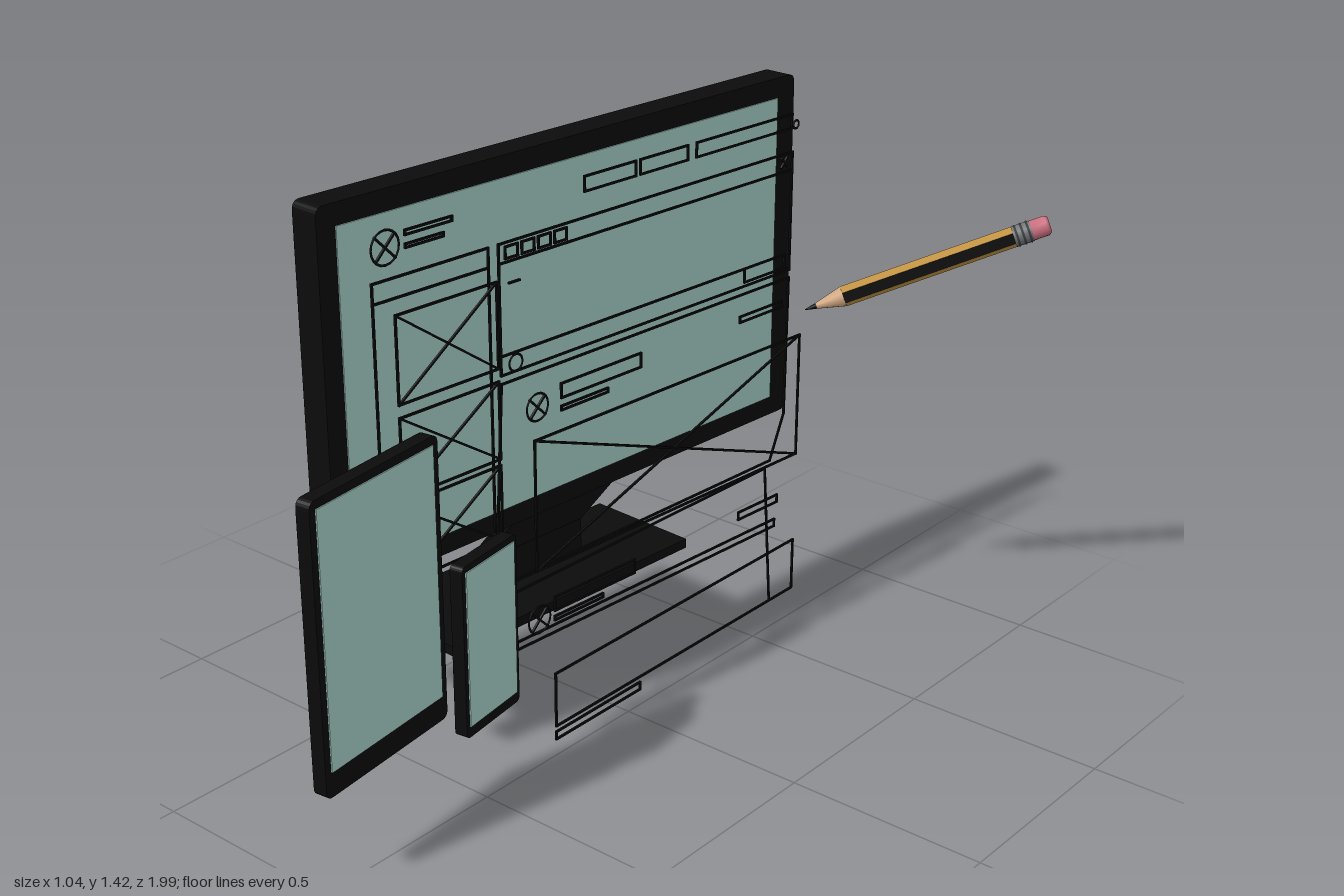
import * as THREE from 'three';
import { mergeGeometries } from 'three/addons/utils/BufferGeometryUtils.js';

const mat = (color, extra = {}) => new THREE.MeshStandardMaterial({ color, ...extra });
const black = mat(0x0b0b0b);
const glass = mat(0xa6cfc7);
const mustard = mat(0xbf9040), wood = mat(0xd0a680), metal = mat(0x6f7375), pink = mat(0xcc7080);

const YAW = -0.063; // monitor, stand and page panels share this turn

function add(parent, name, geometry, material, x = 0, y = 0, z = 0) {
  const mesh = new THREE.Mesh(geometry, material);
  mesh.name = name;
  mesh.position.set(x, y, z);
  parent.add(mesh);
  return mesh;
}

// Rounded slab facing +x, centred on the origin
function slab(width, height, depth, r) {
  const w = width / 2, h = height / 2;
  const s = new THREE.Shape();
  s.moveTo(-w + r, -h);
  s.lineTo(w - r, -h).quadraticCurveTo(w, -h, w, -h + r);
  s.lineTo(w, h - r).quadraticCurveTo(w, h, w - r, h);
  s.lineTo(-w + r, h).quadraticCurveTo(-w, h, -w, h - r);
  s.lineTo(-w, -h + r).quadraticCurveTo(-w, -h, -w + r, -h);
  return new THREE.ExtrudeGeometry(s, { depth, bevelEnabled: false, curveSegments: 5 })
    .translate(0, 0, -depth / 2).rotateY(Math.PI / 2);
}

// Device body plus its screen
function device(name, d) {
  const g = new THREE.Group();
  g.name = name;
  g.position.set(...d.at);
  g.rotation.y = d.yaw;
  add(g, name + 'Case', slab(d.w, d.h, d.t, d.r), black);
  add(g, name + 'Screen', new THREE.BoxGeometry(0.006, d.sh, d.sw), glass, d.t / 2, d.sy, d.sz);
  return g;
}

// Collects thin strokes and merges them into one mesh
function sketch(name, x0, slope, draw) {
  const parts = [];
  const up = new THREE.Vector3(0, 1, 0);
  const line3 = (a, b, t = 0.005) => {
    const p = new THREE.Vector3(...a), q = new THREE.Vector3(...b);
    const dir = q.clone().sub(p);
    const g = new THREE.BoxGeometry(t, dir.length() + t, t);
    g.applyQuaternion(new THREE.Quaternion().setFromUnitVectors(up, dir.normalize()));
    const m = p.add(q).multiplyScalar(0.5);
    parts.push(g.translate(m.x, m.y, m.z));
  };
  const on = (z, y) => [x0 + slope * z, y, z];
  const line = (z1, y1, z2, y2, t) => line3(on(z1, y1), on(z2, y2), t);
  const cross = (z1, y1, z2, y2) => { line(z1, y1, z2, y2); line(z1, y2, z2, y1); };
  const rect = (z1, y1, z2, y2) => {
    line(z1, y1, z2, y1); line(z2, y1, z2, y2); line(z2, y2, z1, y2); line(z1, y2, z1, y1);
  };
  const circle = (z, y, r) => {
    const g = new THREE.TorusGeometry(r, 0.003, 4, 20).rotateY(Math.PI / 2 + Math.atan(slope));
    parts.push(g.translate(...on(z, y)));
  };
  const avatar = (z, y, r) => { circle(z, y, r); cross(z + r * 0.7, y - r * 0.7, z - r * 0.7, y + r * 0.7); };
  draw({ line3, line, rect, cross, circle, avatar });
  const mesh = new THREE.Mesh(mergeGeometries(parts.map(g => g.toNonIndexed())), black);
  mesh.name = name;
  return mesh;
}

function createPageSketch() {
  const g = new THREE.Group();
  g.name = 'pageSketch';
  // Header row and panel frames
  g.add(sketch('pageFrames', -0.1, YAW, ({ line3, line, rect, cross, circle, avatar }) => {
    avatar(0.61, 1.315, 0.038);
    rect(0.555, 1.34, 0.425, 1.33);
    rect(0.555, 1.31, 0.45, 1.302);
    rect(0.03, 1.34, -0.135, 1.305);
    rect(-0.15, 1.34, -0.31, 1.305);
    rect(-0.34, 1.34, -0.685, 1.305);
    // side column
    line(0.65, 1.245, 0.325, 1.245); line(0.65, 1.2, 0.325, 1.2);
    line(0.65, 1.245, 0.65, 0.67); line(0.325, 1.245, 0.325, 0.57);
    // upper window with tabs
    rect(0.295, 1.245, -0.69, 0.94);
    line(0.295, 1.2, -0.69, 1.2);
    for (let i = 0; i < 4; i++) rect(0.275 - i * 0.05, 1.235, 0.238 - i * 0.05, 1.208);
    cross(-0.65, 1.235, -0.67, 1.213);
    line(0.265, 1.15, 0.235, 1.15);
    line(0.295, 0.985, -0.52, 0.985);
    rect(-0.52, 0.985, -0.67, 0.95);
    circle(0.25, 0.96, 0.02);
    // middle panel, bending towards its lower edge
    line(0.295, 0.92, -0.69, 0.92);
    line3([-0.119, 0.92, 0.295], [-0.15, 0.405, 0.295]);
    line3([-0.057, 0.92, -0.69], [-0.06, 0.55, -0.69]);
    line3([-0.06, 0.55, -0.69], [-0.1, 0.405, -0.69]);
    line3([-0.15, 0.405, 0.295], [-0.1, 0.405, -0.69]);
    // lower panel with open bottom
    line3([-0.137, 0.378, 0.295], [-0.115, 0.378, -0.69]);
    line3([-0.137, 0.378, 0.295], [-0.128, 0.15, 0.295]);
    line3([-0.115, 0.378, -0.69], [-0.09, 0.002, -0.69]);
    rect(0.265, 0.26, -0.66, 0.24);
  }));
  // Cards and small entries
  g.add(sketch('pageCards', -0.062, YAW, ({ line, rect, cross, circle, avatar }) => {
    for (const [top, bottom] of [[1.18, 0.98], [0.95, 0.765], [0.75, 0.565]]) {
      rect(0.625, top, 0.34, bottom);
      cross(0.625, top, 0.34, bottom);
    }
    circle(-0.652, 1.328, 0.01);
    avatar(0.225, 0.855, 0.033);
    rect(0.15, 0.89, -0.11, 0.855);
    rect(0.15, 0.835, 0, 0.825);
    rect(-0.46, 0.885, -0.615, 0.87);
    avatar(0.23, 0.32, 0.035);
    rect(0.18, 0.36, -0.09, 0.325);
    rect(0.18, 0.31, 0.02, 0.3);
    rect(-0.47, 0.355, -0.62, 0.335);
  }));
  // Large picture placeholder
  g.add(sketch('pagePicture', -0.038, YAW, ({ rect, cross }) => {
    rect(0.26, 0.79, -0.66, 0.465);
    cross(0.26, 0.465, -0.66, 0.79);
  }));
  // Bottom placeholder and caption
  g.add(sketch('pageFooter', 0.003, 0, ({ rect }) => {
    rect(0.265, 0.22, -0.66, 0.08);
    rect(0.265, 0.065, -0.04, 0.045);
  }));
  return g;
}

function createStand() {
  const g = new THREE.Group();
  g.name = 'stand';
  g.position.set(-0.34, 0, -0.03);
  g.rotation.y = YAW;
  add(g, 'standBase', new THREE.BoxGeometry(0.31, 0.025, 0.8), black, 0, 0.2475, 0);
  // cranked neck profile
  const profile = [[-0.015, 0.25], [0.015, 0.25], [0.015, 0.355], [0.165, 0.54], [0.125, 0.54], [-0.015, 0.368]];
  const neck = new THREE.Shape(profile.map(p => new THREE.Vector2(...p)));
  add(g, 'standNeck', new THREE.ExtrudeGeometry(neck, { depth: 0.34, bevelEnabled: false }), black, 0, 0, -0.16);
  return g;
}

function createPencil() {
  const g = new THREE.Group();
  g.name = 'pencil';
  const tip = new THREE.Vector3(0.05, 0.88, -0.615), end = new THREE.Vector3(0.505, 1.105, -0.978);
  const axis = end.clone().sub(tip);
  const L = axis.length(), R = 0.026;
  g.position.copy(tip);
  g.quaternion.setFromUnitVectors(new THREE.Vector3(0, 1, 0), axis.normalize());
  // sharpened point
  add(g, 'pencilLead', new THREE.CylinderGeometry(R * 0.3, 0.001, 0.03, 12), black, 0, 0.015, 0);
  add(g, 'pencilWood', new THREE.CylinderGeometry(R, R * 0.3, 0.07, 12), wood, 0, 0.065, 0);
  // six flat sides in alternating colours
  const body = L - 0.1 - 0.09;
  for (let i = 0; i < 6; i++) {
    const side = new THREE.CylinderGeometry(R, R, body, 1, 1, true, i * Math.PI / 3, Math.PI / 3).toNonIndexed();
    side.computeVertexNormals();
    add(g, 'pencilSide' + (i + 1), side, i % 2 ? mustard : black, 0, 0.1 + body / 2, 0);
  }
  // ribbed ferrule and eraser
  add(g, 'ferrule', new THREE.CylinderGeometry(R, R, 0.045, 16), metal, 0, L - 0.0675, 0);
  for (let i = 0; i < 3; i++)
    add(g, 'ferruleRib' + (i + 1), new THREE.TorusGeometry(R, 0.002, 6, 16).rotateX(Math.PI / 2), metal, 0, L - 0.082 + i * 0.015, 0);
  const eraser = [[0, 0], [R * 0.95, 0], [R * 0.95, 0.037], [R * 0.75, 0.045], [0, 0.045]];
  add(g, 'eraser', new THREE.LatheGeometry(eraser.map(p => new THREE.Vector2(...p)), 16), pink, 0, L - 0.045, 0);
  return g;
}

export function createModel() {
  const model = new THREE.Group();
  model.name = 'responsiveDesignScene';
  model.add(
    device('monitor', { at: [-0.2, 0.97, -0.022], yaw: YAW, w: 1.503, h: 0.89, t: 0.075, r: 0.022, sw: 1.39, sh: 0.79, sy: 0, sz: 0.007 }),
    device('tablet', { at: [-0.027, 0.578, 0.789], yaw: 0.122, w: 0.412, h: 0.685, t: 0.035, r: 0.02, sw: 0.376, sh: 0.605, sy: 0.02, sz: 0 }),
    device('phone', { at: [0.041, 0.447, 0.532], yaw: 0.15, w: 0.203, h: 0.417, t: 0.032, r: 0.014, sw: 0.18, sh: 0.375, sy: 0.006, sz: 0 }),
    createStand(),
    createPageSketch(),
    createPencil(),
  );
  return model;
}
